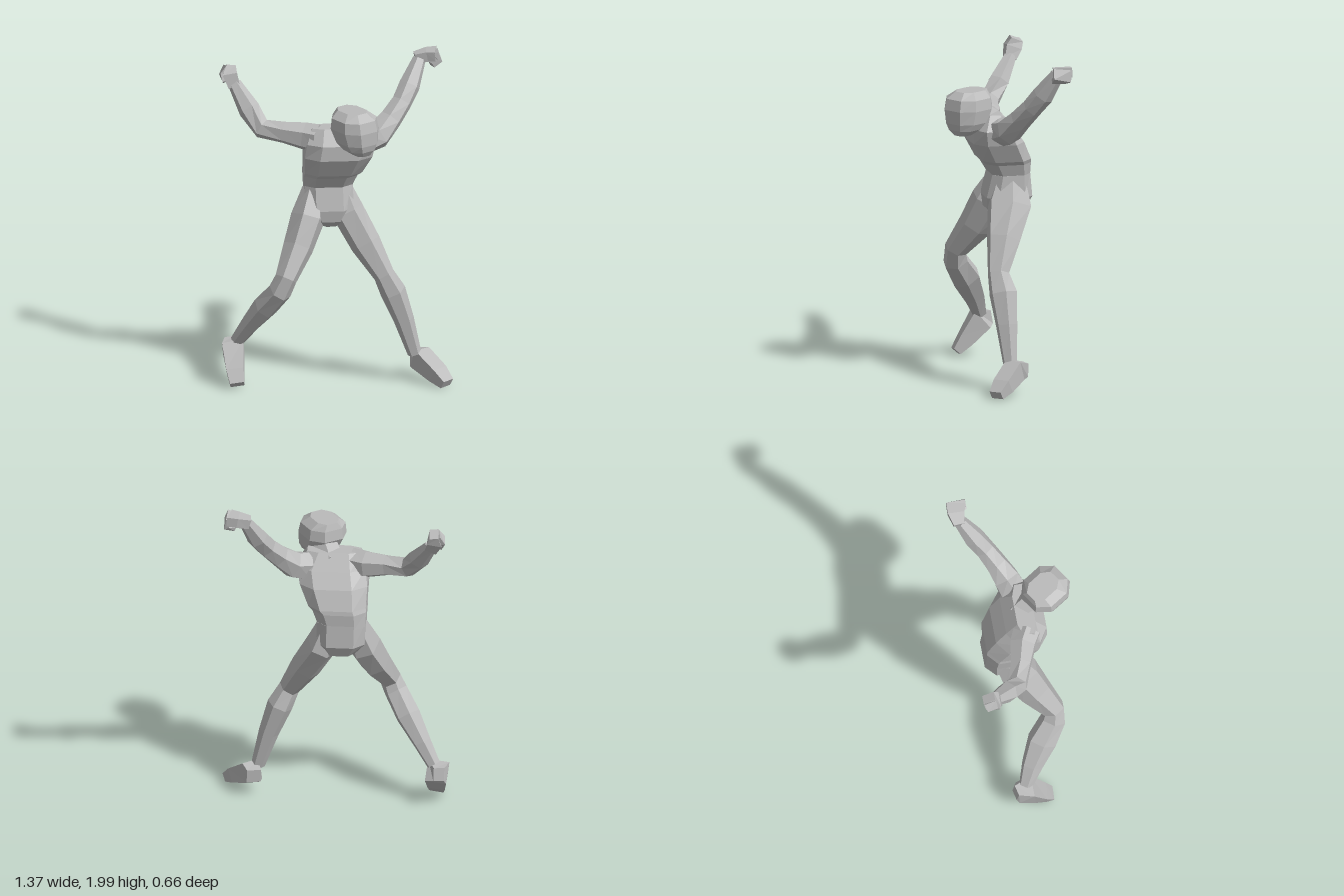
import * as THREE from 'three';

const grey = new THREE.MeshStandardMaterial({ color: 0xbababa, flatShading: true });
grey.name = 'grey';

// Skin rings of `sides` corners along a path.
// Section: [x, y, z, half size along ref, half size across].
// With level, rings stay horizontal; power below 1 makes them boxier.
function loft(name, sections, { sides = 6, ref = [0, 0, 1], level = false, power = 1 } = {}) {
  const centres = sections.map((s) => new THREE.Vector3(s[0], s[1], s[2]));
  const last = centres.length - 1;
  const grow = 1 / Math.cos(Math.PI / sides);
  const shape = (v) => Math.sign(v) * Math.abs(v * grow) ** power;
  const pos = [], index = [];
  centres.forEach((c, i) => {
    const t = level ? new THREE.Vector3(0, 1, 0)
      : centres[Math.min(i + 1, last)].clone().sub(centres[Math.max(i - 1, 0)]).normalize();
    const s = new THREE.Vector3(...ref).addScaledVector(t, -t.dot(new THREE.Vector3(...ref))).normalize();
    const d = t.clone().cross(s);
    const [, , , a, b = a] = sections[i];
    for (let j = 0; j < sides; j++) {
      const angle = ((j + 0.5) / sides) * Math.PI * 2;
      const p = c.clone().addScaledVector(s, a * shape(Math.cos(angle))).addScaledVector(d, b * shape(Math.sin(angle)));
      pos.push(p.x, p.y, p.z);
    }
  });
  const start = pos.length / 3, end = start + 1;
  pos.push(...centres[0].toArray(), ...centres[last].toArray());
  for (let j = 0; j < sides; j++) {
    const k = (j + 1) % sides;
    for (let i = 0; i < last; i++) {
      const p = i * sides, q = p + sides;
      index.push(p + j, p + k, q + k, p + j, q + k, q + j);
    }
    index.push(start, k, j, end, last * sides + j, last * sides + k);
  }
  const geometry = new THREE.BufferGeometry();
  geometry.setAttribute('position', new THREE.Float32BufferAttribute(pos, 3));
  geometry.setIndex(index);
  geometry.computeVertexNormals();
  const mesh = new THREE.Mesh(geometry, grey);
  mesh.name = name;
  return mesh;
}

export function createModel() {
  const model = new THREE.Group();
  model.name = 'leapingFigure';
  const add = (...args) => model.add(loft(...args));
  const body = { sides: 8, ref: [1, 0, 0], level: true, power: 0.65 };

  // Trunk, leaning forward from the waist
  add('pelvis', [
    [-0.035, 0.985, -0.05, 0.045, 0.05],
    [-0.035, 1.03, -0.07, 0.095, 0.12],
    [-0.042, 1.1, -0.082, 0.145, 0.14],
    [-0.045, 1.24, -0.094, 0.145, 0.116],
  ], body);
  add('torso', [
    [-0.05, 1.22, -0.1, 0.14, 0.11],
    [-0.035, 1.31, -0.072, 0.16, 0.138],
    [-0.02, 1.335, -0.055, 0.172, 0.15],
    [0.005, 1.45, 0.003, 0.202, 0.155],
    [0.022, 1.54, 0.035, 0.205, 0.122],
    [0.01, 1.63, 0.038, 0.16, 0.055],
  ], body);

  // Neck and head, turned toward the left
  add('neck', [[0.03, 1.54, 0.02, 0.08], [0.085, 1.64, 0.14, 0.07]], { ref: [1, 0, 0] });
  add('head', [
    [0.13, 1.515, 0.225, 0.045, 0.05],
    [0.12, 1.55, 0.215, 0.09, 0.088],
    [0.108, 1.59, 0.2, 0.112, 0.118],
    [0.093, 1.67, 0.184, 0.126, 0.142],
    [0.09, 1.735, 0.182, 0.118, 0.13],
    [0.08, 1.775, 0.165, 0.07, 0.098],
  ], { sides: 8, ref: [0.83, 0, -0.55], level: true, power: 0.8 });

  // Arms, raised and swept back
  add('rightArm', [
    [-0.11, 1.555, 0.035, 0.078],
    [-0.19, 1.56, -0.005, 0.074],
    [-0.31, 1.575, -0.037, 0.058],
    [-0.44, 1.588, -0.08, 0.053],
    [-0.51, 1.685, -0.152, 0.057],
    [-0.592, 1.82, -0.245, 0.035],
  ]);
  add('leftArm', [
    [0.16, 1.53, 0.005, 0.08],
    [0.25, 1.55, -0.025, 0.075],
    [0.33, 1.63, -0.075, 0.06],
    [0.4, 1.715, -0.13, 0.054],
    [0.45, 1.8, -0.185, 0.056],
    [0.515, 1.94, -0.26, 0.035],
  ]);

  // Hands: palm, bent fingers and thumb
  const box = { sides: 4 };
  add('rightPalm', [
    [-0.592, 1.8, -0.24, 0.035, 0.035],
    [-0.618, 1.87, -0.265, 0.048, 0.044],
    [-0.612, 1.92, -0.286, 0.038, 0.027],
  ], box);
  add('rightFingers', [
    [-0.63, 1.91, -0.282, 0.036, 0.02],
    [-0.66, 1.87, -0.27, 0.034, 0.018],
    [-0.645, 1.83, -0.25, 0.03, 0.016],
  ], box);
  add('leftPalm', [
    [0.49, 1.945, -0.268, 0.032, 0.03],
    [0.56, 1.962, -0.274, 0.05, 0.03],
    [0.615, 1.968, -0.265, 0.058, 0.029],
  ], box);
  add('leftFingers', [
    [0.612, 1.985, -0.265, 0.056, 0.015],
    [0.63, 1.93, -0.258, 0.054, 0.015],
    [0.585, 1.908, -0.245, 0.042, 0.013],
  ], box);

  // Legs, spread wide with the right knee forward
  add('rightLeg', [
    [-0.13, 1.2, -0.085, 0.08, 0.06],
    [-0.17, 1.04, -0.02, 0.11, 0.09],
    [-0.235, 0.88, 0.06, 0.092, 0.08],
    [-0.315, 0.72, 0.16, 0.062, 0.058],
    [-0.35, 0.64, 0.152, 0.068, 0.062],
    [-0.43, 0.52, 0.07, 0.08, 0.066],
    [-0.52, 0.38, -0.005, 0.058, 0.048],
    [-0.592, 0.26, -0.055, 0.038, 0.036],
  ]);
  add('leftLeg', [
    [0.03, 1.2, -0.09, 0.085, 0.06],
    [0.07, 1.06, -0.075, 0.122, 0.085],
    [0.175, 0.87, -0.012, 0.092, 0.08],
    [0.28, 0.69, 0.045, 0.058, 0.055],
    [0.335, 0.58, 0.03, 0.075, 0.067],
    [0.4, 0.4, 0.025, 0.058, 0.053],
    [0.465, 0.18, 0.02, 0.038, 0.036],
  ]);

  // Feet, heel to toe
  add('rightFoot', [
    [-0.628, 0.23, -0.125, 0.032, 0.04],
    [-0.613, 0.22, -0.065, 0.064, 0.068],
    [-0.607, 0.1, 0.03, 0.052, 0.045],
    [-0.6, 0.035, 0.088, 0.042, 0.026],
  ], { sides: 4, ref: [1, 0, 0.15] });
  add('leftFoot', [
    [0.483, 0.145, -0.068, 0.042, 0.04],
    [0.497, 0.148, -0.005, 0.055, 0.06],
    [0.597, 0.075, 0.095, 0.053, 0.044],
    [0.648, 0.03, 0.15, 0.04, 0.026],
  ], { sides: 4, ref: [0.78, 0, -0.63] });

  return model;
}
